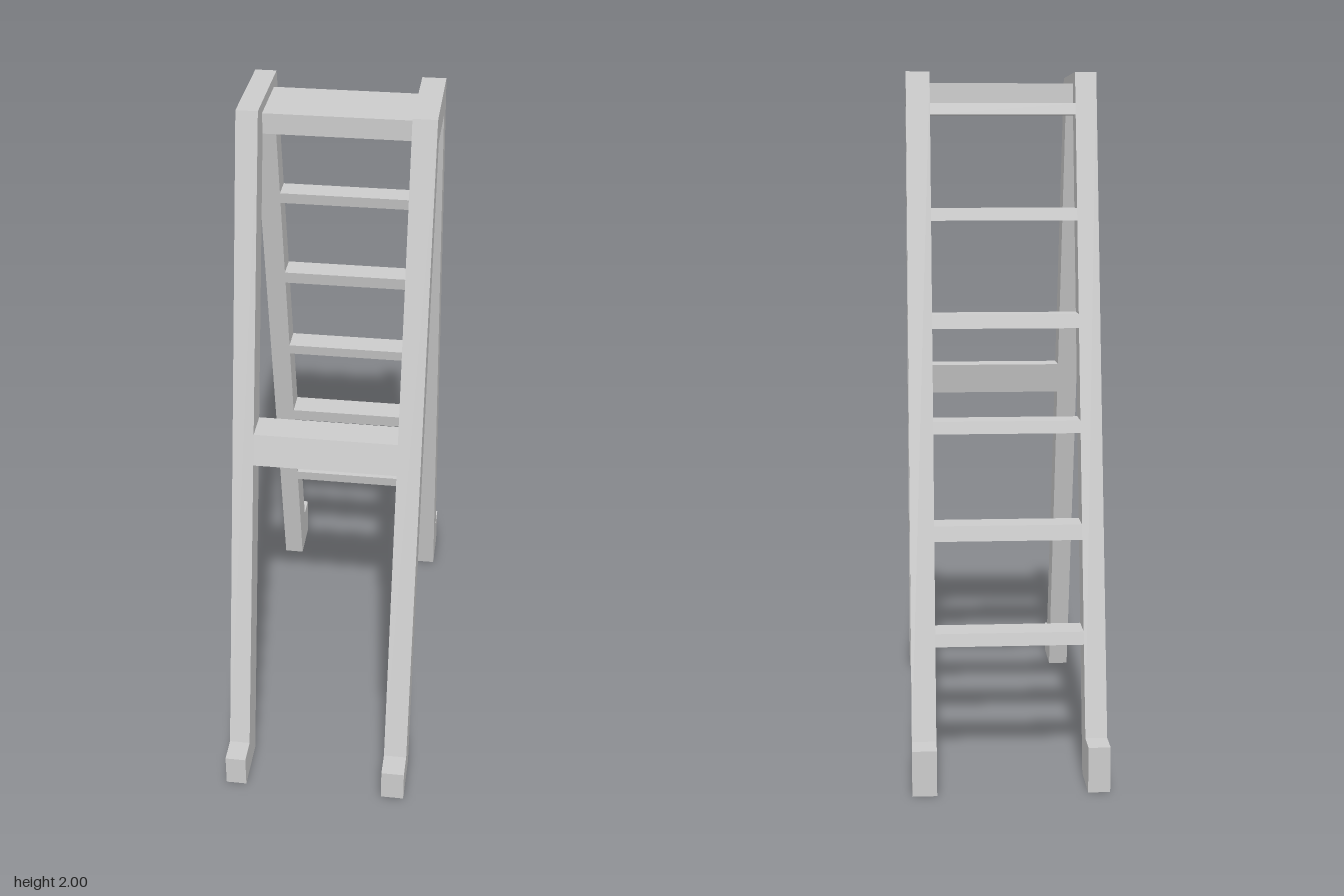
import * as THREE from 'three';

const material = new THREE.MeshStandardMaterial({ color: 0xcccccc, flatShading: true });

// Extrudes a side profile of [z, y] points across the width from x0 to x1
function slab(name, points, x0, x1) {
  const shape = new THREE.Shape(points.map(([z, y]) => new THREE.Vector2(z, y)));
  const geometry = new THREE.ExtrudeGeometry(shape, { depth: x1 - x0, bevelEnabled: false });
  geometry.rotateY(-Math.PI / 2).translate(x1, 0, 0);
  const mesh = new THREE.Mesh(geometry, material);
  mesh.name = name;
  return mesh;
}

// z on a straight leg edge at height y, given the edge's two [z, y] ends
const along = ([z0, y0], [z1, y1], y) => z0 + ((z1 - z0) * (y - y0)) / (y1 - y0);

// Edges of the front and back legs, foot to top
const front = { outer: [[0.585, 0.1], [0.118, 2]], inner: [[0.5, 0], [0.057, 1.91]] };
const back = { outer: [[-0.585, 0.13], [-0.195, 2]], inner: [[-0.518, 0], [-0.144, 1.91]] };

// A crosspiece whose faces follow the slope of its legs
function crosspiece(name, leg, y0, y1) {
  const z = (edge, y) => along(...edge, y);
  return slab(name, [
    [z(leg.outer, y0), y0], [z(leg.inner, y0), y0],
    [z(leg.inner, y1), y1], [z(leg.outer, y1), y1],
  ], -0.215, 0.206);
}

export function createModel() {
  const model = new THREE.Group();
  model.name = 'stepladder';

  // A-shaped side frames with stepped feet
  const frame = [
    [0.66, 0], [0.66, 0.1], ...front.outer,
    back.outer[1], back.outer[0], [-0.66, 0.13], [-0.66, 0],
    ...back.inner, front.inner[1], front.inner[0],
  ];
  model.add(slab('leftFrame', frame, 0.206, 0.275));
  model.add(slab('rightFrame', frame, -0.277, -0.215));

  // Rungs between the back legs
  const rungs = [[0.387, 0.423], [0.677, 0.72], [0.975, 1.01], [1.27, 1.31], [1.575, 1.61], [1.877, 1.91]];
  rungs.forEach(([y0, y1], i) => model.add(crosspiece(`rung${i + 1}`, back, y0, y1)));

  // Brace between the front legs
  model.add(crosspiece('frontBrace', front, 1.0, 1.093));

  // Top platform
  model.add(slab('topPlatform', [[-0.144, 1.91], [0.057, 1.91], [0.057, 1.97], [-0.144, 1.97]], -0.215, 0.206));

  return model;
}
